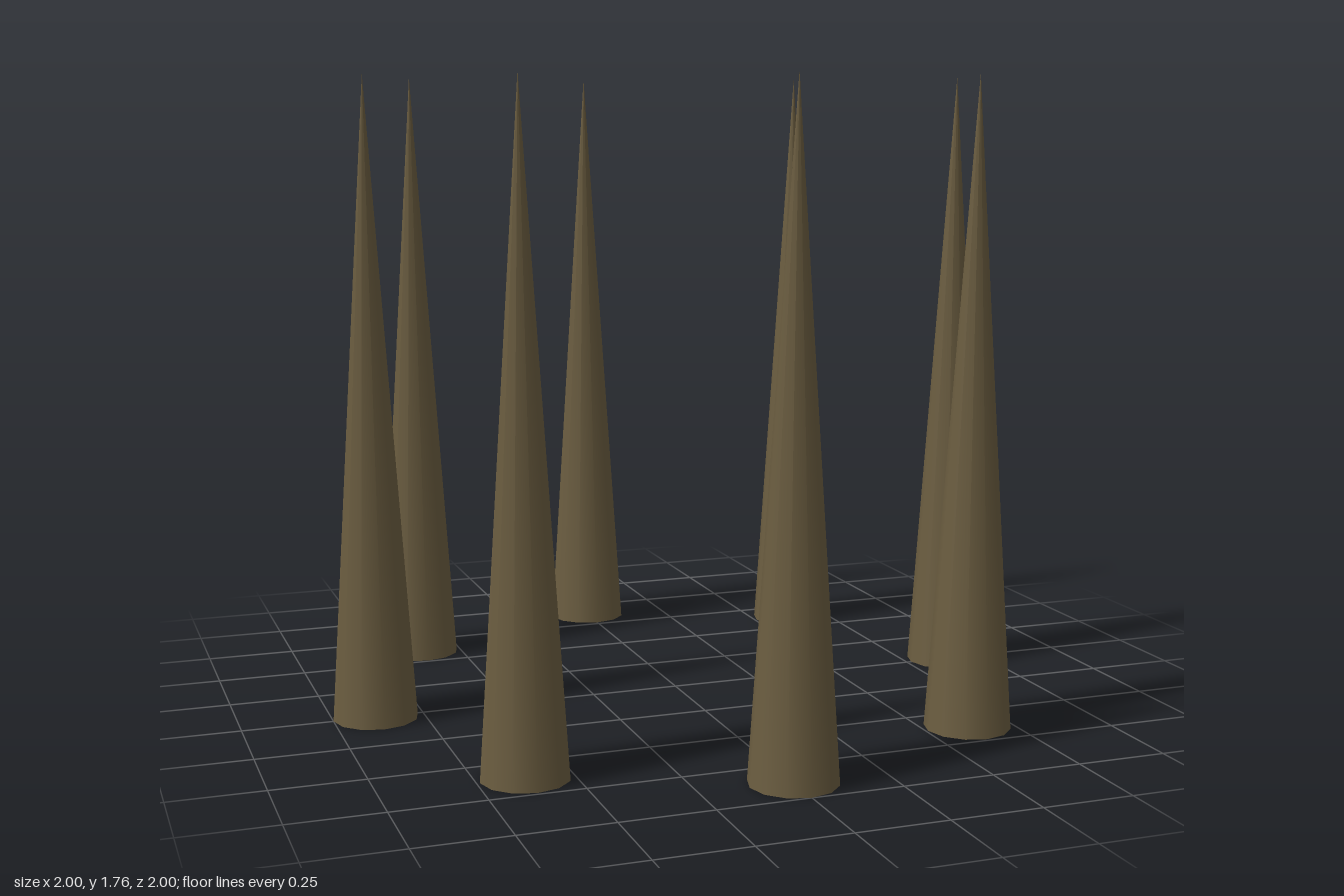
import * as THREE from 'three';

const COUNT = 8;
const RADIUS = 2 / 17;
const HEIGHT = RADIUS * 15;
const RING = 1 - RADIUS;

export function createModel() {
  const model = new THREE.Group();
  model.name = 'spikeRing';

  const material = new THREE.MeshStandardMaterial({ color: 0x6b5d40 });

  // One tall closed cone, standing on the ground
  const spikeGeometry = new THREE.ConeGeometry(RADIUS, HEIGHT, 12);
  spikeGeometry.translate(0, HEIGHT / 2, 0);

  // Eight spikes evenly spaced around a circle
  for (let i = 0; i < COUNT; i++) {
    const angle = (i / COUNT) * Math.PI * 2;
    const spike = new THREE.Mesh(spikeGeometry, material);
    spike.name = `spike${i + 1}`;
    spike.position.set(Math.cos(angle) * RING, 0, Math.sin(angle) * RING);
    model.add(spike);
  }

  return model;
}
